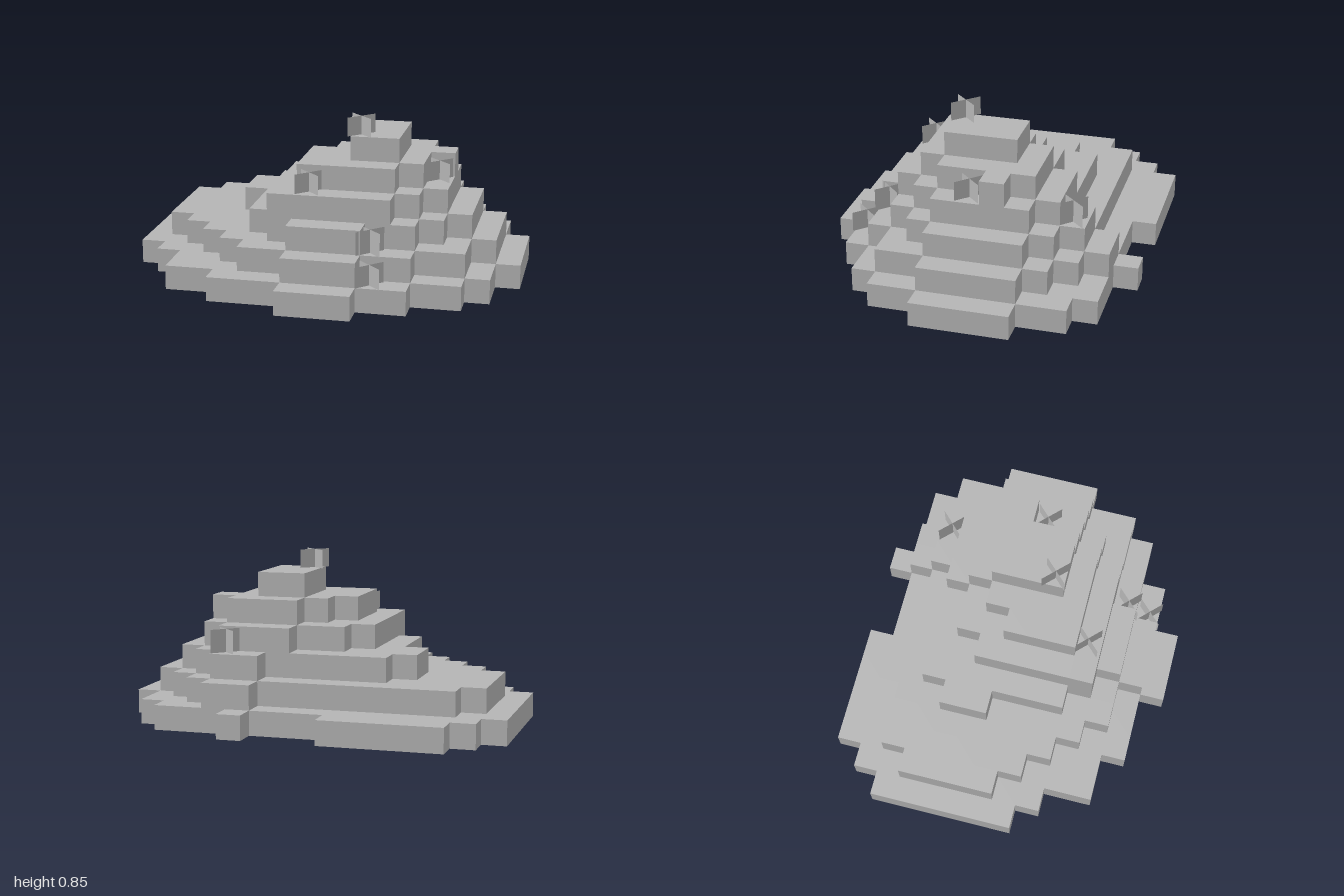
import * as THREE from 'three';

const CELL = 0.125, ROWS = 13, COLS = 16;

// Terraces from the ground up: first row from the back, then the [start, end) columns of each row.
const TERRACES = [
  { row: 0, spans: [[2, 7], [1, 14], [0, 15], [0, 15], [0, 16], [0, 16], [0, 16], [0, 16], [1, 15], [2, 15], [2, 14], [4, 12], [7, 10]], extra: [0, 10] },
  { row: 1, spans: [[10, 12], [2, 13], [1, 14], [1, 15], [1, 15], [1, 15], [2, 15], [3, 14], [4, 14], [5, 12], [7, 10]] },
  { row: 2, spans: [[10, 12], [5, 13], [4, 14], [4, 14], [5, 14], [5, 14], [5, 13], [6, 12], [7, 10]] },
  { row: 3, spans: [[9, 12], [7, 13], [6, 13], [6, 13], [6, 13], [6, 12], [6, 11]] },
  { row: 4, spans: [[9, 12], [8, 13], [7, 12], [7, 12], [7, 11]] },
  { row: 5, spans: [[9, 11], [9, 11], [9, 11]] },
];

// Grass tufts: x, base y, z, height
const TUFTS = [
  [0.17, 0.75, 0.135, 0.097],
  [-0.05, 0.5, 0.365, 0.1],
  [0.555, 0.5, 0.005, 0.1],
  [0.29, 0.25, 0.515, 0.12],
  [0.31, 0.125, 0.635, 0.105],
  [0.44, 0.375, -0.49, 0.118],
];

function covers(level, r, c) {
  const t = TERRACES[level];
  if (!t) return false;
  if (t.extra && r === t.extra[0] && c === t.extra[1]) return true;
  const span = t.spans[r - t.row];
  return !!span && c >= span[0] && c < span[1];
}

// Open quads collected into one geometry
function quadGeometry(quads) {
  const pos = [];
  for (const [a, b, c, d] of quads) pos.push(...a, ...b, ...c, ...a, ...c, ...d);
  const g = new THREE.BufferGeometry();
  g.setAttribute('position', new THREE.Float32BufferAttribute(pos, 3));
  g.computeVertexNormals();
  return g;
}

// Outer walls and exposed tread of one hollow terrace
function terraceGeometry(level) {
  const quads = [];
  const y0 = level * CELL, y1 = y0 + CELL;
  const wall = (ax, az, bx, bz) =>
    quads.push([[ax, y0, az], [bx, y0, bz], [bx, y1, bz], [ax, y1, az]]);
  for (let r = 0; r < ROWS; r++) {
    for (let c = 0; c < COLS; c++) {
      if (!covers(level, r, c)) continue;
      const x0 = (c - COLS / 2) * CELL, x1 = x0 + CELL;
      const z0 = (r - ROWS / 2) * CELL, z1 = z0 + CELL;
      if (!covers(level + 1, r, c)) {
        quads.push([[x0, y1, z1], [x1, y1, z1], [x1, y1, z0], [x0, y1, z0]]);
      }
      if (!covers(level, r + 1, c)) wall(x0, z1, x1, z1);
      if (!covers(level, r - 1, c)) wall(x1, z0, x0, z0);
      if (!covers(level, r, c + 1)) wall(x1, z1, x1, z0);
      if (!covers(level, r, c - 1)) wall(x0, z0, x0, z1);
    }
  }
  return quadGeometry(quads);
}

export function createModel() {
  const model = new THREE.Group();
  model.name = 'terracedHill';
  const stone = new THREE.MeshStandardMaterial({ color: 0xb4b4b4, side: THREE.DoubleSide });
  stone.name = 'stoneGrey';

  // Stepped hill
  TERRACES.forEach((_, level) => {
    const mesh = new THREE.Mesh(terraceGeometry(level), stone);
    mesh.name = `terrace${level + 1}`;
    model.add(mesh);
  });

  // Tufts, each a pair of crossed upright planes
  const w = 0.06;
  TUFTS.forEach(([x, y, z, h], i) => {
    const blade = (s) => [[-w, 0, w * s], [w, 0, -w * s], [w, h, -w * s], [-w, h, w * s]];
    const tuft = new THREE.Mesh(quadGeometry([blade(1), blade(-1)]), stone);
    tuft.name = `grassTuft${i + 1}`;
    tuft.position.set(x, y, z);
    model.add(tuft);
  });

  return model;
}
